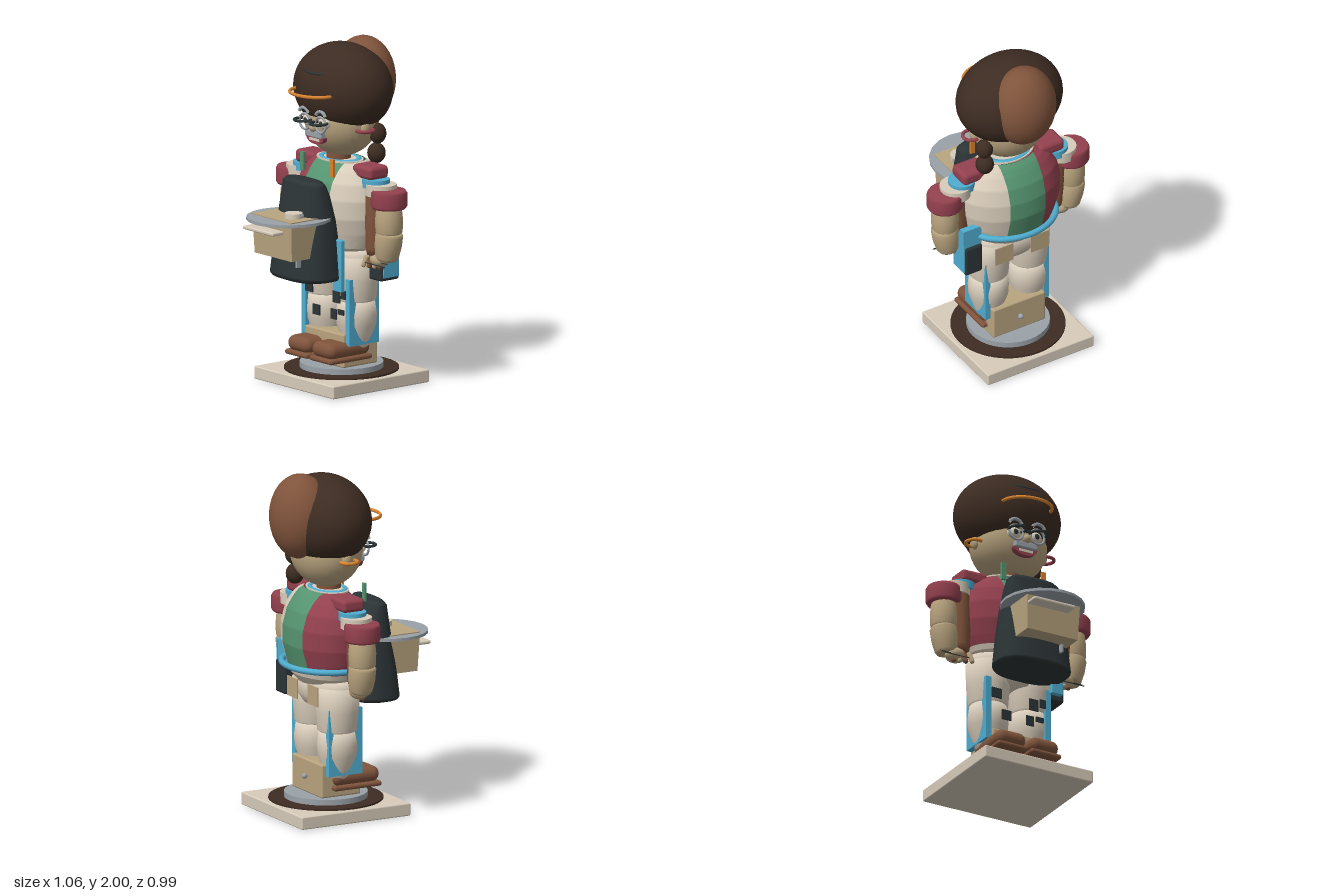
import * as THREE from 'three';
import { RoundedBoxGeometry } from 'three/addons/geometries/RoundedBoxGeometry.js';
import { ParametricGeometry } from 'three/addons/geometries/ParametricGeometry.js';

const colours = {
  cream: 0xd8ccba, tan: 0xb9a47f, brown: 0x80543c, darkBrown: 0x3d2c22, red: 0x94414f,
  blue: 0x4fadd0, green: 0x559470, grey: 0x9aa2a8, black: 0x2c3436, orange: 0xd98430,
};

export function createModel() {
  const model = new THREE.Group();
  const mat = {};
  for (const [name, color] of Object.entries(colours)) {
    mat[name] = new THREE.MeshStandardMaterial({ color, side: THREE.DoubleSide });
    mat[name].name = name;
  }
  const add = (name, geo, m, x = 0, y = 0, z = 0) => {
    const mesh = new THREE.Mesh(geo, mat[m]);
    mesh.name = name;
    mesh.position.set(x, y, z);
    model.add(mesh);
    return mesh;
  };
  // Box and rounded box given by their extents
  const box = (name, m, x0, x1, y0, y1, z0, z1, r = 0) => add(name,
    r ? new RoundedBoxGeometry(x1 - x0, y1 - y0, z1 - z0, 3, r) : new THREE.BoxGeometry(x1 - x0, y1 - y0, z1 - z0),
    m, (x0 + x1) / 2, (y0 + y1) / 2, (z0 + z1) / 2);
  const ball = (name, m, x, y, z, rx, ry = rx, rz = rx) => {
    const b = add(name, new THREE.SphereGeometry(1, 32, 20), m, x, y, z);
    b.scale.set(rx, ry, rz);
    return b;
  };
  const disc = (name, m, x, y0, y1, z, r, rTop = r, sides = 40) =>
    add(name, new THREE.CylinderGeometry(rTop, r, y1 - y0, sides), m, x, (y0 + y1) / 2, z);
  const lathe = (name, m, pts, x = 0, z = 0, sx = 1, sz = 1) => {
    const l = add(name, new THREE.LatheGeometry(pts.map(p => new THREE.Vector2(p[0], p[1])), 40), m, x, 0, z);
    l.scale.set(sx, 1, sz);
    return l;
  };
  const ring = (name, m, x, y, z, r, tube, flat = true, arc = Math.PI * 2) => {
    const t = add(name, new THREE.TorusGeometry(r, tube, 10, 36, arc), m, x, y, z);
    if (flat) t.rotation.x = Math.PI / 2;
    return t;
  };
  // Tapered limb segment between two points
  const limb = (name, m, a, b, ra, rb) => {
    const p = new THREE.Vector3(...a), d = new THREE.Vector3(...b).sub(p), n = d.length();
    const pts = [[0, 0], [ra * 0.85, 0], [ra, n * 0.1], [(ra + rb) * 0.53, n * 0.5], [rb, n * 0.9], [rb * 0.85, n], [0, n]];
    const mesh = add(name, new THREE.LatheGeometry(pts.map(q => new THREE.Vector2(...q)), 28), m, ...a);
    mesh.quaternion.setFromUnitVectors(new THREE.Vector3(0, 1, 0), d.normalize());
    return mesh;
  };
  // Smooth value from rows of [y, a, b, ...]
  const sample = (rows, y, k) => {
    let i = 0;
    while (i < rows.length - 2 && y > rows[i + 1][0]) i++;
    return THREE.MathUtils.mapLinear(y, rows[i][0], rows[i + 1][0], rows[i][k], rows[i + 1][k]);
  };
  const C = -0.14; // depth of the body axis

  // Stand
  box('basePlate', 'cream', -0.357, 0.357, 0, 0.075, -0.497, 0.217, 0.008);
  disc('baseMat', 'darkBrown', 0, 0.075, 0.085, C, 0.33);
  disc('turntable', 'grey', 0, 0.085, 0.118, C, 0.24);
  box('drawerBox', 'tan', -0.175, 0.175, 0.118, 0.315, -0.265, -0.01, 0.01);
  ball('drawerKnob', 'grey', 0, 0.218, -0.28, 0.016);

  // Legs, shoes, side stripes
  for (const s of [-1, 1]) {
    lathe('calf', 'cream', [[0, 0.2], [0.065, 0.21], [0.085, 0.27], [0.115, 0.36], [0.118, 0.42], [0.108, 0.5], [0, 0.505]], s * 0.133, C);
    lathe('thigh', 'cream', [[0, 0.49], [0.1, 0.492], [0.116, 0.51], [0.125, 0.62], [0.13, 0.76], [0, 0.78]], s * 0.133, C);
    box('shoeSole', 'brown', s * 0.11 - 0.1, s * 0.11 + 0.1, 0.157, 0.187, -0.2, 0.113, 0.014);
    box('shoe', 'brown', s * 0.108 - 0.096, s * 0.108 + 0.096, 0.18, 0.272, -0.2, 0.11, 0.045);
    box('legStripe', 'blue', s * 0.197 - 0.018, s * 0.197 + 0.018, 0.25, 0.64, -0.24, -0.022);
    box('backPocket', 'tan', s * 0.12 - 0.06, s * 0.12 + 0.06, 0.66, 0.775, -0.295, -0.288);
  }
  for (const [x, y, w, h] of [[-0.145, 0.545, 0.065, 0.06], [0.1, 0.525, 0.06, 0.07], [-0.08, 0.42, 0.06, 0.06],
    [0.075, 0.42, 0.05, 0.06], [0.14, 0.44, 0.05, 0.03], [0.16, 0.545, 0.04, 0.05]])
    box('trouserPatch', 'black', x - w / 2, x + w / 2, y - h / 2, y + h / 2, -0.024, -0.015);
  lathe('hips', 'cream', [[0, 0.62], [0.19, 0.64], [0.25, 0.7], [0.255, 0.8], [0, 0.82]], 0, C, 1, 0.59);

  // Jacket: elliptical rows split into upright colour panels at fixed x
  const torso = [[0.77, 0.2, 0.14], [0.82, 0.25, 0.18], [0.9, 0.285, 0.2], [1.0, 0.312, 0.226], [1.1, 0.318, 0.224],
    [1.2, 0.295, 0.195], [1.26, 0.255, 0.155], [1.295, 0.21, 0.125], [1.312, 0.165, 0.1]];
  const panel = (name, m, y0, y1, from, to) => add(name, new ParametricGeometry((u, v, p) => {
    const y = y0 + (y1 - y0) * v, rx = sample(torso, y, 1), rz = sample(torso, y, 2);
    const e = Math.asin(0.118 / rx), a = from(e) + (to(e) - from(e)) * u;
    p.set(rx * Math.sin(a), y, -0.15 + rz * Math.cos(a));
  }, 24, 30), m);
  const T = 0.85, Y = 1.312, PI = Math.PI;
  panel('jacketFront', 'green', T, Y, e => -e, e => e);
  panel('jacketLeft', 'cream', T, Y, e => e, e => PI - e);
  panel('jacketBack', 'green', T, Y, e => PI - e, e => PI + e);
  panel('jacketRight', 'red', T, Y, e => PI + e, e => 2 * PI - e);
  panel('jacketHem', 'cream', 0.77, T, () => 0, () => 2 * PI);
  const belt = ring('belt', 'blue', 0, 0.875, -0.16, 0.26, 0.02, true, PI);
  belt.rotation.x = -PI / 2;
  belt.scale.set(1.06, 0.86, 0.9);
  disc('collarTop', 'cream', 0, 1.305, 1.314, -0.13, 0.165).scale.z = 0.66;
  const collar = ring('collar', 'blue', 0, 1.31, -0.13, 0.13, 0.02);
  collar.scale.set(1, 0.7, 0.5);
  disc('neck', 'brown', 0, 1.3, 1.4, -0.12, 0.07);
  box('pocketPen', 'green', -0.148, -0.118, 1.24, 1.345, 0.03, 0.045);
  box('pocketPencil', 'orange', 0.115, 0.145, 1.24, 1.345, 0.03, 0.045);

  // Arms
  for (const s of [-1, 1]) {
    box('shoulder', 'red', s * 0.255 - 0.085, s * 0.255 + 0.085, 1.235, 1.312, -0.215, -0.07, 0.025);
    disc('blueBand', 'blue', s * 0.31, 1.19, 1.238, C, 0.08);
    disc('sleeve', 'cream', s * 0.355, 1.15, 1.215, C, 0.09);
    lathe('cuff', 'red', [[0, 1.085], [0.095, 1.085], [0.105, 1.1], [0.105, 1.175], [0.095, 1.192], [0, 1.192]], s * 0.425, C);
    limb('upperForearm', 'tan', [s * 0.425, 0.93, C], [s * 0.425, 1.1, C], 0.078, 0.074);
    limb('lowerForearm', 'tan', [s * 0.405, 0.78, C], [s * 0.43, 0.945, C], 0.068, 0.08);
    limb('innerSleeve', 'brown', [s * 0.325, 0.8, -0.12], [s * 0.335, 1.18, -0.12], 0.055, 0.06);
    ball('hand', 'tan', s * 0.36, 0.775, -0.125, 0.06, 0.045, 0.055);
    for (let i = 0; i < 4; i++)
      limb('finger', i % 2 ? 'brown' : 'tan', [s * (0.275 + i * 0.034), 0.725, -0.07 - i * 0.012],
        [s * (0.29 + i * 0.034), 0.79, -0.09 - i * 0.01], 0.013, 0.015);
    for (let i = 0; i < 3; i++)
      box('heldWire', 'black', s * 0.375 - 0.09, s * 0.375 + 0.09, 0.75 + i * 0.015, 0.754 + i * 0.015, -0.075 - i * 0.02, -0.071 - i * 0.02);
  }

  // Apron: tapering rounded shell, rows of [y, halfWidth, back, front]
  const apron = [[0.64, 0.215, -0.02, 0.27], [0.665, 0.235, -0.03, 0.282], [0.85, 0.215, -0.02, 0.262],
    [1.0, 0.195, 0.0, 0.238], [1.14, 0.175, 0.04, 0.215], [1.2, 0.165, 0.07, 0.205], [1.222, 0.14, 0.09, 0.185]];
  const sgnPow = v => Math.sign(v) * Math.abs(v) ** 0.8;
  add('apron', new ParametricGeometry((u, v, p) => {
    const k = THREE.MathUtils.clamp(v * 1.2 - 0.1, 0, 1), y = 0.64 + 0.582 * k;
    const shrink = v < 0.1 ? v / 0.1 : v > 0.917 ? (1 - v) / 0.083 : 1; // close the ends
    const f = Math.min(1, Math.max(0, shrink)), a = u * 2 * PI;
    const back = sample(apron, y, 2), front = sample(apron, y, 3);
    p.set(f * sample(apron, y, 1) * sgnPow(Math.sin(a)), y, (back + front) / 2 + f * (front - back) / 2 * sgnPow(Math.cos(a)));
  }, 40, 60), 'black');
  box('apronClip', 'grey', 0.105, 0.118, 0.74, 0.79, 0.26, 0.29);
  box('apronRuler', 'blue', 0.17, 0.245, 0.585, 0.89, 0.037, 0.068, 0.006);

  // Tray with box
  disc('tray', 'grey', 0, 1.003, 1.02, 0.252, 0.245, 0.245, 20);
  const trayBox = box('trayBox', 'tan', -0.175, 0.175, 0.795, 1.026, 0.07, 0.38);
  const tp = trayBox.geometry.attributes.position;
  for (let i = 0; i < tp.count; i++) if (tp.getY(i) < 0) { tp.setX(i, tp.getX(i) * 0.95); tp.setZ(i, tp.getZ(i) * 0.92); }
  trayBox.geometry.computeVertexNormals();
  box('trayHandle', 'cream', -0.17, 0.1, 0.944, 0.965, 0.37, 0.455, 0.008);
  disc('trayCup', 'cream', 0.07, 1.02, 1.055, 0.275, 0.052);
  box('cupHandle', 'grey', 0.105, 0.125, 1.03, 1.05, 0.24, 0.262, 0.005);

  // Hip bag
  box('hipBag', 'black', 0.25, 0.365, 0.64, 0.83, -0.27, -0.13, 0.015);
  const flap = new THREE.Shape([[0.145, 0.66], [0.26, 0.66], [0.255, 0.95], [0.215, 0.95], [0.15, 0.8]].map(p => new THREE.Vector2(...p)));
  const flapMesh = add('bagFlap', new THREE.ExtrudeGeometry(flap, { depth: 0.008, bevelEnabled: false }), 'blue', 0.363);
  flapMesh.rotation.y = PI / 2;
  box('bagStrap', 'blue', 0.25, 0.365, 0.82, 0.95, -0.255, -0.215);

  // Head and hair
  ball('head', 'tan', 0, 1.545, C, 0.23, 0.22, 0.205);
  const cap = [[0, 1.54]];
  for (let i = 0; i <= 24; i++) {
    const a = -0.75 + (PI / 2 + 0.75) * i / 24;
    cap.push([Math.max(0, Math.cos(a)), 1.72 + 0.262 * Math.sin(a)]);
  }
  lathe('hair', 'darkBrown', cap, 0, -0.153, 0.325, 0.258);
  ball('hairBun', 'brown', 0, 1.752, -0.305, 0.195, 0.248, 0.178);
  ball('braidTop', 'darkBrown', 0.215, 1.475, -0.23, 0.05, 0.06, 0.05);
  ball('braidEnd', 'darkBrown', 0.21, 1.36, -0.225, 0.053, 0.06, 0.053);
  const band = ring('headband', 'orange', 0, 1.72, 0.07, 0.155, 0.01, true, PI);
  band.scale.y = 0.78;
  const lock = add('hairLock', new THREE.TubeGeometry(new THREE.QuadraticBezierCurve3(
    new THREE.Vector3(-0.095, 1.84, 0.055), new THREE.Vector3(0, 1.825, 0.1), new THREE.Vector3(0.095, 1.84, 0.055)), 16, 0.008, 8), 'black');
  lock.scale.z = 1;

  // Face
  for (const s of [-1, 1]) {
    ball('ear', 'tan', s * 0.222, 1.52, -0.13, 0.024, 0.042, 0.032);
    ring('earring', s < 0 ? 'orange' : 'red', s * 0.235, 1.51, -0.12, 0.05, 0.01);
    ball('eye', 'cream', s * 0.07, 1.545, 0.045, 0.042, 0.036, 0.03);
    ball('pupil', 'black', s * 0.07, 1.545, 0.07, 0.017, 0.017, 0.008);
    ring('lensRim', 'grey', s * 0.07, 1.54, 0.075, 0.046, 0.007, false);
    ring('glasses', 'black', s * 0.07, 1.552, 0.09, 0.05, 0.008);
    const brow = ring('eyebrow', 'grey', s * 0.075, 1.575, 0.078, 0.045, 0.01, false, PI * 0.7);
    brow.rotation.z = PI * 0.15;
  }
  box('glassesBridge', 'black', -0.025, 0.025, 1.546, 1.558, 0.083, 0.097);
  ball('nose', 'tan', 0, 1.515, 0.065, 0.028, 0.028, 0.03);
  box('moustache', 'grey', -0.072, 0.072, 1.455, 1.495, 0.03, 0.075, 0.008);
  const mouth = new THREE.Shape().absellipse(0, 0, 0.078, 0.045, PI, 2 * PI);
  add('mouth', new THREE.ExtrudeGeometry(mouth, { depth: 0.05, bevelEnabled: false }), 'red', 0, 1.46, 0.01);
  box('teeth', 'cream', -0.045, 0.045, 1.435, 1.45, 0.058, 0.065);
  return model;
}
